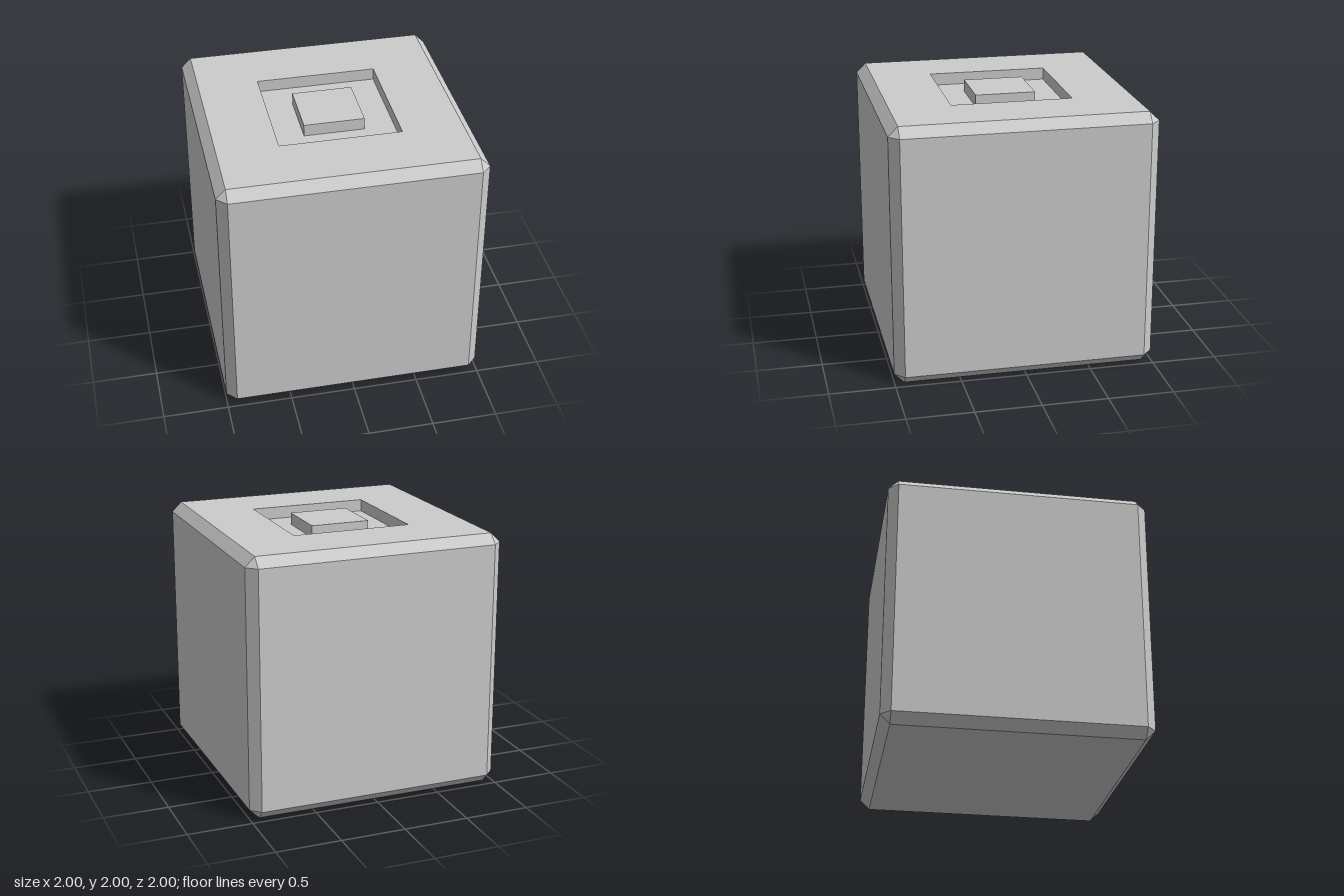
import * as THREE from 'three';
import { ConvexGeometry } from 'three/addons/geometries/ConvexGeometry.js';

const FLAT = 0.926;        // half-width of each flat face inside the chamfers
const RECESS = FLAT / 2;   // half-width of the square recess
const BLOCK = FLAT / 4;    // half-width of the raised block
const DEPTH = 0.093;       // recess depth

// Chamfered cube hull without its top face
function openShell() {
  const points = [];
  for (const x of [-1, 1]) for (const y of [-1, 1]) for (const z of [-1, 1]) {
    points.push(
      new THREE.Vector3(x, y * FLAT, z * FLAT),
      new THREE.Vector3(x * FLAT, y, z * FLAT),
      new THREE.Vector3(x * FLAT, y * FLAT, z),
    );
  }
  const hull = new ConvexGeometry(points).getAttribute('position');
  const kept = [];
  for (let i = 0; i < hull.count; i += 3) {
    const isTop = [0, 1, 2].every((k) => hull.getY(i + k) > 0.999);
    if (isTop) continue;
    for (let k = 0; k < 3; k++) kept.push(hull.getX(i + k), hull.getY(i + k) + 1, hull.getZ(i + k));
  }
  const geometry = new THREE.BufferGeometry();
  geometry.setAttribute('position', new THREE.Float32BufferAttribute(kept, 3));
  geometry.computeVertexNormals();
  return geometry;
}

// Concentric square steps: profile of [half-width, height] turned in four sides
function squareSteps(profile) {
  const points = profile.map(([half, y]) => new THREE.Vector2(half * Math.SQRT2, y));
  const geometry = new THREE.LatheGeometry(points, 4, Math.PI / 4).toNonIndexed();
  geometry.computeVertexNormals();
  return geometry;
}

export function createModel() {
  const group = new THREE.Group();
  group.name = 'chamferedCube';
  const material = new THREE.MeshStandardMaterial({ color: 0xcccccc, flatShading: true });
  const add = (name, geometry) => {
    const mesh = new THREE.Mesh(geometry, material);
    mesh.name = name;
    group.add(mesh);
  };

  add('shell', openShell());

  // Top rim, recess walls and recess floor
  add('recessedTop', squareSteps([[FLAT, 2], [RECESS, 2], [RECESS, 2 - DEPTH], [BLOCK, 2 - DEPTH]]));

  // Block in the recess, flush with the top
  add('centreBlock', squareSteps([[BLOCK, 2 - DEPTH], [BLOCK, 2], [0, 2]]));

  return group;
}
